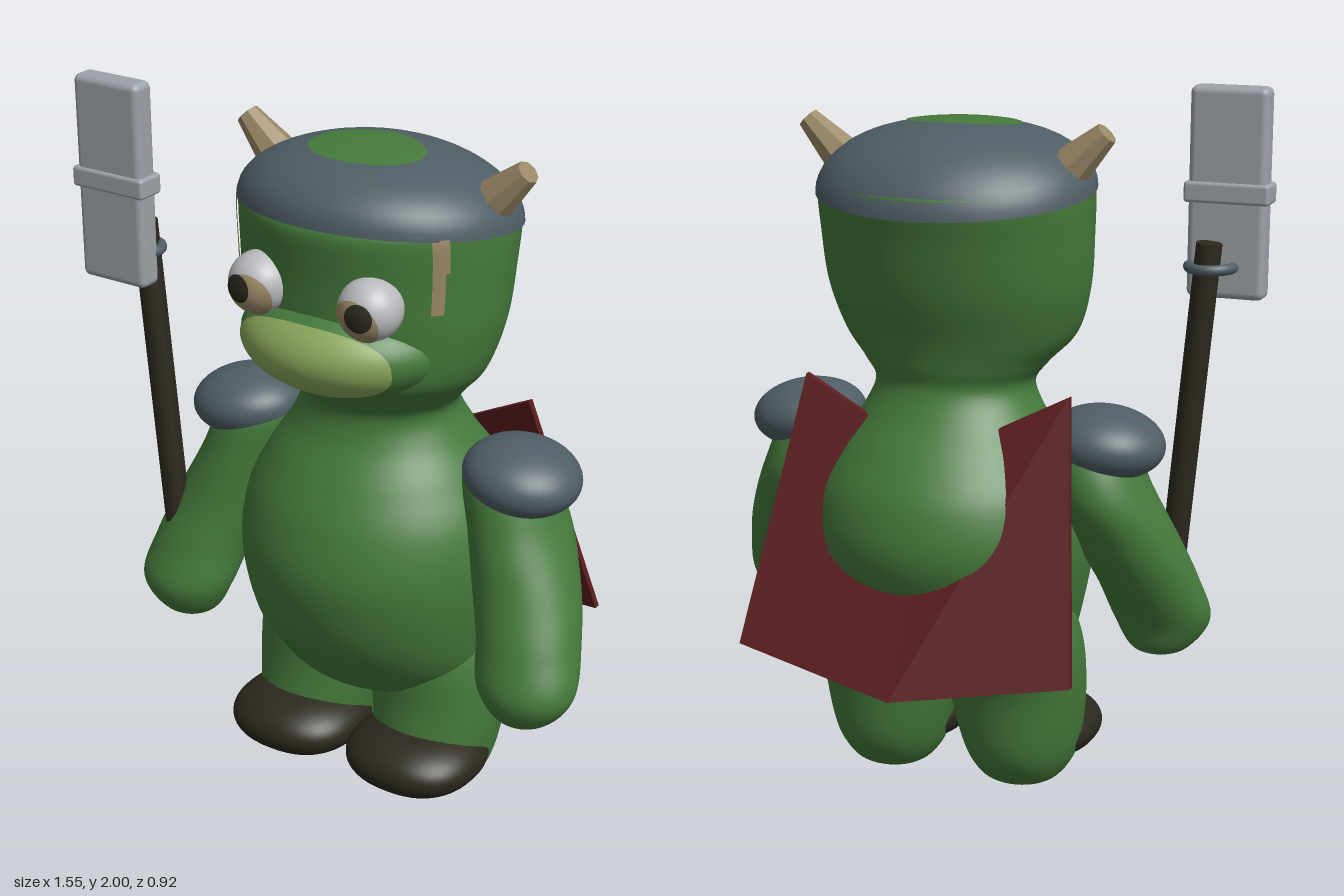
import * as THREE from 'three';
import { mergeVertices } from 'three/addons/utils/BufferGeometryUtils.js';
import { RoundedBoxGeometry } from 'three/addons/geometries/RoundedBoxGeometry.js';

const paint = (name, color) => {
  const m = new THREE.MeshStandardMaterial({ color });
  m.name = name;
  return m;
};

// Welds a geometry and gives it smooth normals
function smooth(geo) {
  geo.deleteAttribute('uv');
  geo.deleteAttribute('normal');
  const g = mergeVertices(geo, 1e-5);
  g.computeVertexNormals();
  return g;
}

// Skin over horizontal elliptical rings [y, radiusX, frontZ, backZ, centreX]
function loft(rings, { side = 1, from = 0, to = 1, start = 0, sweep = Math.PI * 2, grow = 0, rows = 64, cols = 48 } = {}) {
  const a = new THREE.CatmullRomCurve3(rings.map(r => new THREE.Vector3(r[0], r[1], r[4] || 0)), false, 'catmullrom');
  const b = new THREE.CatmullRomCurve3(rings.map(r => new THREE.Vector3(r[2], r[3], 0)), false, 'catmullrom');
  const pos = [], index = [];
  for (let i = 0; i <= rows; i++) {
    const t = from + (to - from) * i / rows;
    const p = a.getPoint(t), q = b.getPoint(t);
    for (let j = 0; j <= cols; j++) {
      const th = start + sweep * j / cols;
      pos.push(side * p.z + (p.y + grow) * Math.cos(th), p.x,
        (q.x + q.y) / 2 + ((q.x - q.y) / 2 + grow) * Math.sin(th));
      if (i < rows && j < cols) {
        const k = i * (cols + 1) + j, n = k + cols + 1;
        index.push(k, n, k + 1, n, n + 1, k + 1);
      }
    }
  }
  const g = new THREE.BufferGeometry();
  g.setAttribute('position', new THREE.Float32BufferAttribute(pos, 3));
  g.setIndex(index);
  return smooth(g);
}

// Moves every vertex by a rule (x, y, z) => [x, y, z]
function reshape(geo, rule) {
  const p = geo.attributes.position;
  for (let i = 0; i < p.count; i++) p.setXYZ(i, ...rule(p.getX(i), p.getY(i), p.getZ(i)));
  return geo;
}

const BODY = [
  [0.30, 0.02, 0.05, 0.03], [0.33, 0.22, 0.22, -0.12], [0.42, 0.33, 0.30, -0.20],
  [0.55, 0.37, 0.38, -0.27], [0.73, 0.40, 0.42, -0.35], [0.88, 0.385, 0.39, -0.335],
  [1.0, 0.325, 0.33, -0.27], [1.1, 0.26, 0.265, -0.195], [1.18, 0.228, 0.245, -0.155],
  [1.24, 0.265, 0.28, -0.165], [1.32, 0.335, 0.36, -0.185], [1.45, 0.375, 0.375, -0.23],
  [1.6, 0.387, 0.38, -0.265], [1.72, 0.39, 0.39, -0.29], [1.76, 0.38, 0.378, -0.24]];
const LEG = [
  [0, 0, 0.03, 0.03, 0.2], [0.015, 0.09, 0.12, -0.04, 0.2], [0.06, 0.14, 0.20, -0.09, 0.2],
  [0.14, 0.172, 0.23, -0.13, 0.2], [0.3, 0.2, 0.21, -0.155, 0.195], [0.45, 0.195, 0.20, -0.20, 0.195],
  [0.6, 0.15, 0.15, -0.20, 0.2]];
const ARM = [
  [0.39, 0, 0.195, 0.195, 0.56], [0.41, 0.08, 0.27, 0.12, 0.565], [0.5, 0.14, 0.315, 0.08, 0.57],
  [0.62, 0.145, 0.28, 0.01, 0.545], [0.75, 0.148, 0.235, -0.06, 0.5], [0.9, 0.135, 0.20, -0.12, 0.445],
  [1.05, 0.11, 0.16, -0.08, 0.40], [1.1, 0.02, 0.06, 0.02, 0.39]];

// Height of the tilted skullcap dome
const capY = (x, z) => {
  const u = Math.min(1, Math.hypot(x / 0.395, (z - 0.048) / 0.348));
  return 1.715 + 0.12 * (z - 0.048) * u + 0.183 * Math.sqrt(1 - u ** 2.3);
};

// Snout ellipsoid: centre and radii
const SNOUT = { y: 1.405, z: 0.2, rx: 0.3, ry: 0.15, rz: 0.255 };

export function createModel() {
  const skin = paint('green skin', 0x457a3b), pale = paint('pale green', 0x8aa75b);
  const slate = paint('slate', 0x4f5e65), dark = paint('dark brown', 0x2b281d);
  const bone = paint('bone', 0x9a8866), white = paint('eye white', 0xb9babd);
  const red = paint('dark red', 0x5d1e20), steel = paint('steel', 0x9ba2a8);

  const model = new THREE.Group();
  const figure = new THREE.Group();
  figure.name = 'figure';
  figure.position.x = 0.06;
  model.add(figure);

  const add = (parent, name, geo, mat, x = 0, y = 0, z = 0) => {
    const m = new THREE.Mesh(geo, mat);
    m.name = name;
    m.position.set(x, y, z);
    parent.add(m);
    return m;
  };
  const ellipsoid = (rx, ry, rz) => new THREE.SphereGeometry(1, 40, 28).scale(rx, ry, rz);
  const aim = (mesh, x, y, z) =>
    mesh.quaternion.setFromUnitVectors(new THREE.Vector3(0, 1, 0), new THREE.Vector3(x, y, z).normalize());
  const square = (v, p) => Math.sign(v) * Math.abs(v) ** p;

  // Torso and head in one skin
  add(figure, 'body', loft(BODY, { rows: 112, cols: 64 }), skin);

  // Skullcap and the bare patch on its crown
  const disc = () => new THREE.RingGeometry(0, 1, 56, 14);
  add(figure, 'skullcap', smooth(reshape(disc().rotateX(-Math.PI / 2), (x, y, z) => {
    const r = Math.hypot(x, z), k = r > 0 ? Math.sin(r * Math.PI / 2) / r : 0;
    const px = 0.395 * x * k, pz = 0.048 + 0.348 * z * k;
    return [px, capY(px, pz), pz];
  })), slate);
  add(figure, 'crownPatch', smooth(reshape(disc().rotateX(-Math.PI / 2), (x, y, z) => {
    const px = 0.165 * x, pz = 0.11 + 0.125 * z;
    return [px, capY(px, pz) + 0.004, pz];
  })), skin);

  // Snout bulge with a pale patch lying on its front
  add(figure, 'snout', ellipsoid(SNOUT.rx, SNOUT.ry, SNOUT.rz), skin, 0, SNOUT.y, SNOUT.z);
  add(figure, 'muzzle', smooth(reshape(disc(), (x, y) => {
    const px = 0.24 * square(x, 0.9), py = 0.1 * square(y, 0.85) - 0.008;
    const depth = Math.sqrt(1 - (px / SNOUT.rx) ** 2 - (py / SNOUT.ry) ** 2);
    return [px, SNOUT.y + py, SNOUT.z + SNOUT.rz * depth + 0.006];
  })), pale);

  for (const s of [1, -1]) {
    const side = s > 0 ? 'left' : 'right';

    // Limbs
    add(figure, side + 'Leg', loft(LEG, { side: s }), skin);
    add(figure, side + 'Boot', smooth(reshape(new THREE.SphereGeometry(1, 48, 32),
      (x, y, z) => [0.197 * square(x, 0.85), 0.092 * y, 0.19 * square(z, 0.85)])), dark, s * 0.199, 0.143, 0.153);
    add(figure, side + 'Arm', loft(ARM, { side: s }), skin);
    add(figure, side + 'ShoulderPad', ellipsoid(0.164, 0.098, 0.16), slate, s * 0.45, 1.04, 0.038)
      .rotation.z = -s * 0.12;

    // Horn, a blunt cone leaning outward
    const horn = add(figure, side + 'Horn',
      new THREE.CylinderGeometry(0.033, 0.078, 0.24, 8).toNonIndexed(), bone, s * 0.352, 1.803, 0.035);
    horn.geometry.computeVertexNormals();
    aim(horn, s * 0.72, 0.69, 0);

    // Eye with iris and pupil caps
    const eye = new THREE.Group();
    eye.name = side + 'Eye';
    eye.position.set(s * 0.172, 1.563, 0.352);
    figure.add(eye);
    add(eye, 'eyeball', ellipsoid(0.086, 0.084, 0.086), white);
    const cap = (r, angle) => new THREE.SphereGeometry(r, 28, 8, 0, Math.PI * 2, 0, angle);
    aim(add(eye, 'iris', cap(0.0885, 0.85), bone), -s * 0.08, -0.35, 1);
    aim(add(eye, 'pupil', cap(0.0905, 0.44), dark), s * 0.18, 0.02, 1);

    // Side stripe under the cap, with a kink halfway down
    const mid = s > 0 ? 0.63 : Math.PI - 0.63;
    [[12.4, 13.5, 0.065, 0], [11.6, 12.4, 0.05, 0.015]].forEach(([a, b, w, shift]) =>
      add(figure, side + 'Stripe', loft(BODY, {
        from: a / 14, to: b / 14, start: mid + s * shift - w, sweep: 2 * w, grow: 0.006, rows: 8, cols: 4,
      }), bone));
  }

  // Cape: a folded sheet, outer and centre edges blended from bottom to top
  const mix = THREE.MathUtils.lerp;
  const cape = reshape(new THREE.BoxGeometry(2, 1, 0.02, 2, 1, 1), (x, y, z) => {
    const a = Math.abs(x), v = y + 0.5;
    return [x * mix(0.49, 0.39, v),
      mix(mix(0.385, 0.99, v), mix(0.46, 1.19, v), a),
      z + mix(mix(-0.445, -0.135, v), mix(-0.355, -0.1, v), a)];
  }).toNonIndexed();
  cape.computeVertexNormals();
  add(figure, 'cape', cape, red);

  // Hammer held in the right hand
  const hammer = new THREE.Group();
  hammer.name = 'hammer';
  model.add(hammer);
  const low = new THREE.Vector3(-0.535, 0.62, 0.2), high = new THREE.Vector3(-0.622, 1.58, 0.195);
  const axis = high.clone().sub(low), centre = low.clone().add(high).multiplyScalar(0.5);
  aim(add(hammer, 'handle', new THREE.CylinderGeometry(0.037, 0.037, axis.length(), 12), dark,
    centre.x, centre.y, centre.z), axis.x, axis.y, axis.z);
  add(hammer, 'head', new RoundedBoxGeometry(0.219, 0.58, 0.074, 3, 0.02), steel, -0.656, 1.71, 0.265);
  add(hammer, 'band', new RoundedBoxGeometry(0.24, 0.058, 0.09, 3, 0.01), steel, -0.656, 1.712, 0.265);
  add(hammer, 'ring', new THREE.TorusGeometry(0.062, 0.015, 10, 32).rotateX(Math.PI / 2), slate, -0.62, 1.51, 0.225);

  return model;
}
